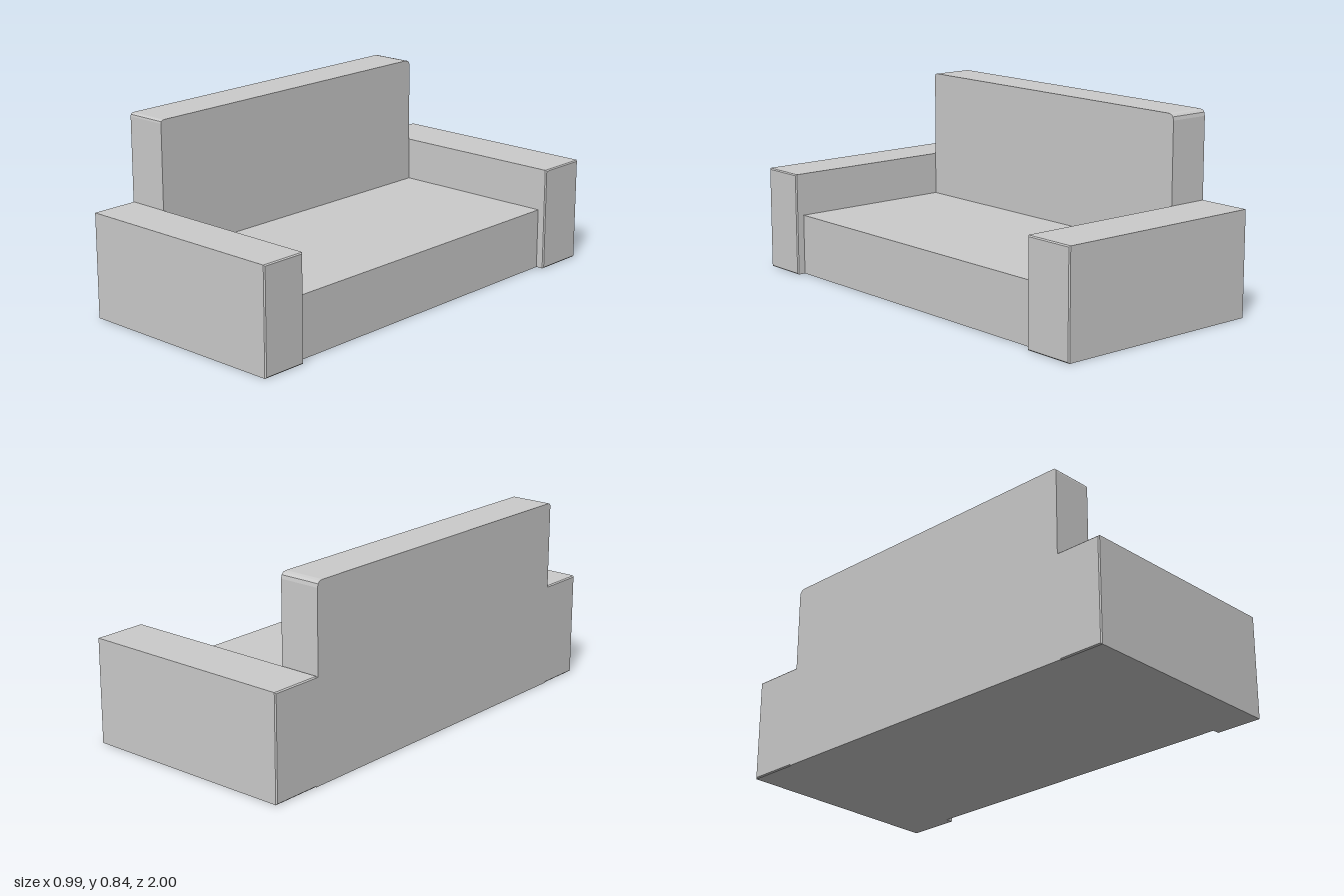
import * as THREE from 'three';

const material = new THREE.MeshStandardMaterial({ color: 0xcccccc, flatShading: true });

// Extrude a (z, y) profile along x from x0 to x1, with a small bevel
function extrudeX(name, shape, x0, x1, bevel) {
  const geo = new THREE.ExtrudeGeometry(shape, {
    depth: x1 - x0 - 2 * bevel, bevelEnabled: bevel > 0, bevelSize: bevel,
    bevelThickness: bevel, bevelOffset: -bevel, bevelSegments: 1, curveSegments: 3,
  });
  geo.rotateY(Math.PI / 2).translate(x0 + bevel, 0, 0);
  const mesh = new THREE.Mesh(geo, material);
  mesh.name = name;
  return mesh;
}

// Rectangle from z0 to z1, whose top corners have radius r0 and r1 (profile x is -z)
function profile(z0, z1, y0, y1, r0 = 0, r1 = 0) {
  const s = new THREE.Shape();
  s.moveTo(-z1, y0);
  s.lineTo(-z0, y0);
  s.lineTo(-z0, y1 - r0);
  if (r0) s.quadraticCurveTo(-z0, y1, -z0 - r0, y1);
  else s.lineTo(-z0, y1);
  s.lineTo(-z1 + r1, y1);
  if (r1) s.quadraticCurveTo(-z1, y1, -z1, y1 - r1);
  s.closePath();
  return s;
}

export function createModel() {
  const sofa = new THREE.Group();
  sofa.name = 'sofa';

  // Armrests with slightly broken edges, at either end
  sofa.add(extrudeX('rearArmrest', profile(-1, -0.763, 0, 0.46), -0.495, 0.492, 0.005));
  sofa.add(extrudeX('frontArmrest', profile(0.79, 1, 0, 0.46), -0.495, 0.492, 0.005));

  // Seat block between the armrests, set back from their fronts
  sofa.add(extrudeX('seat', profile(-0.77, 0.795, 0, 0.27), -0.495, 0.455, 0));

  // Lower back panel, flush with the backs of the armrests
  sofa.add(extrudeX('backPanel', profile(-0.99, 0.99, 0.005, 0.455), -0.495, -0.31, 0));

  // Backrest, with softened upper corners
  sofa.add(extrudeX('backrest', profile(-0.758, 0.788, 0.2, 0.843, 0.028, 0.015), -0.495, -0.308, 0));

  return sofa;
}
